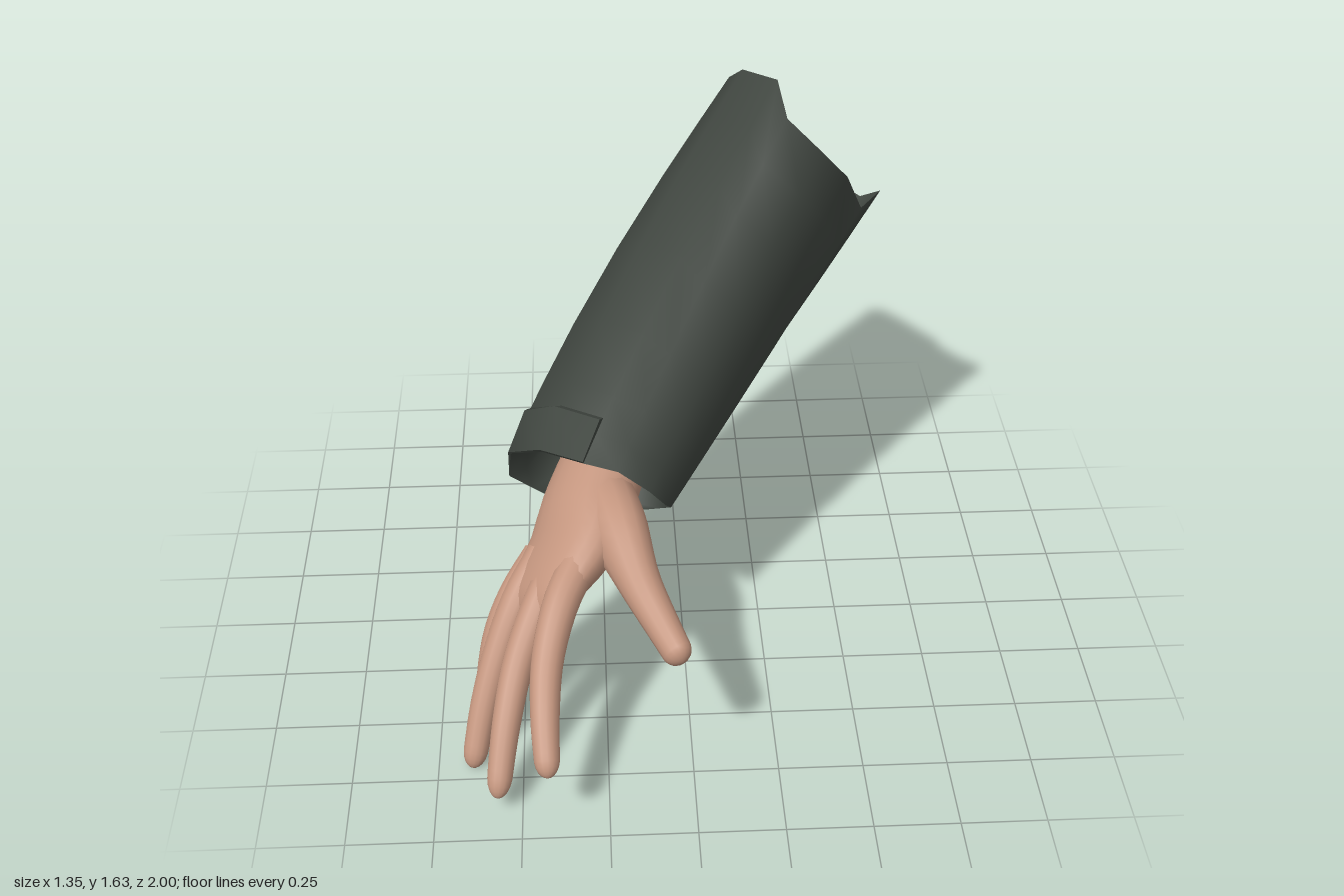
import * as THREE from 'three';

const V = (a) => new THREE.Vector3(...a);

// Skins a list of rings (arrays of Vector3 with equal length) into a smooth tube
function loft(rings, closed = true) {
  const n = rings[0].length, pos = [], idx = [];
  rings.forEach((r) => r.forEach((p) => pos.push(p.x, p.y, p.z)));
  for (let i = 0; i < rings.length - 1; i++) {
    for (let j = 0; j < (closed ? n : n - 1); j++) {
      const k = (j + 1) % n, a = i * n + j, b = i * n + k;
      idx.push(a, b, a + n, b, b + n, a + n);
    }
  }
  const g = new THREE.BufferGeometry();
  g.setAttribute('position', new THREE.Float32BufferAttribute(pos, 3));
  g.setIndex(idx);
  g.computeVertexNormals();
  return g;
}

// Direction across the knuckles, from little finger to index finger
const ACROSS = new THREE.Vector3(0.5, 0.5, 0.71).normalize();

// Rounded limb along a curve; sizes are [half width, half thickness] per point
function limb(points, sizes, steps, sides, tip) {
  const path = new THREE.CatmullRomCurve3(points.map(V));
  const size = new THREE.CatmullRomCurve3(sizes.map(([w, h]) => new THREE.Vector3(w, h, 0)));
  const rings = [];
  for (let i = 0; i <= steps; i++) {
    const t = tip ? Math.sin((i / steps) * Math.PI / 2) : i / steps;
    const c = path.getPoint(t), T = path.getTangent(t), s = size.getPoint(t);
    const side = ACROSS.clone().addScaledVector(T, -ACROSS.dot(T)).normalize();
    const up = T.clone().cross(side);
    const cap = tip && t > 0.93 ? Math.sqrt(Math.max(0.0004, 1 - ((t - 0.93) / 0.07) ** 2)) : 1;
    rings.push(Array.from({ length: sides }, (_, j) => {
      const a = (j / sides) * Math.PI * 2;
      return c.clone().addScaledVector(side, Math.cos(a) * s.x * cap)
        .addScaledVector(up, Math.sin(a) * s.y * cap);
    }));
  }
  return loft(rings);
}

// Matching outlines of the two sleeve ends
const CUFF = [
  [-0.30, 0.83, 0.34], [-0.20, 0.81, 0.36], [-0.11, 0.73, 0.35], [-0.06, 0.63, 0.28],
  [-0.04, 0.55, 0.18], [-0.07, 0.49, 0.10], [-0.19, 0.445, 0.05], [-0.33, 0.45, 0.04],
  [-0.46, 0.53, 0.03], [-0.53, 0.60, 0.06], [-0.52, 0.71, 0.10], [-0.42, 0.80, 0.23],
].map(V);
const TOP = [
  [0.32, 1.63, -0.53], [0.34, 1.56, -0.40], [0.45, 1.45, -0.39], [0.54, 1.33, -0.46],
  [0.605, 1.16, -0.58], [0.67, 1.20, -0.62], [0.63, 1.10, -0.78], [0.48, 1.12, -0.97],
  [0.35, 1.20, -1.0], [0.21, 1.37, -0.97], [0.20, 1.48, -0.90], [0.23, 1.575, -0.74],
].map(V);

const centre = (ring) => ring.reduce((s, p) => s.add(p), V([0, 0, 0])).divideScalar(ring.length);

// Sleeve outline at t (0 cuff, 1 upper end), swollen and bent in the middle
function sleeveRing(t, grow = () => 1) {
  const b = Math.sin(Math.PI * t ** 0.8);
  const ring = CUFF.map((p, i) => p.clone().lerp(TOP[i], t));
  const c = centre(ring);
  return ring.map((p, i) => p.sub(c).multiplyScalar((1 + 0.085 * b) * grow(i)).add(c)
    .add(new THREE.Vector3(0, -0.01, -0.06).multiplyScalar(b)));
}

export function createModel() {
  const cloth = new THREE.MeshStandardMaterial({ color: 0x414741, side: THREE.DoubleSide });
  cloth.name = 'dark green cloth';
  const skin = new THREE.MeshStandardMaterial({ color: 0xc4967f });
  skin.name = 'skin';

  const model = new THREE.Group();
  model.name = 'sleevedArm';
  const add = (name, geometry, material, parent = model) => {
    const m = new THREE.Mesh(geometry, material);
    m.name = name;
    parent.add(m);
  };

  // Sleeve, open at both ends
  const stations = [0, 0.06, 0.15, 0.3, 0.5, 0.7, 0.86, 1];
  add('sleeve', loft(stations.map((t) => sleeveRing(t))), cloth);

  // Hem folded into the cuff
  add('cuffHem', loft([sleeveRing(0.1, () => 0.7), sleeveRing(0.02, () => 0.84), sleeveRing(0)]), cloth);

  // Raised strap over the back of the cuff, running out flush at its far end
  const columns = [9, 10, 11, 0];
  const lift = { 9: 0, 10: 0.5, 11: 1, 0: 1 };
  const strap = [[0, 0], [0, 0.06], [0.09, 0.1], [0.1, 0]].map(([t, h]) => {
    const ring = sleeveRing(t, (i) => 1 + h * (lift[i] ?? 0));
    return columns.map((i) => ring[i]);
  });
  for (let i = 0; i < 3; i++) add('cuffStrap', loft([strap[i], strap[i + 1]], false), cloth);
  const [a, b, c, d] = strap.map((r) => r[3]);
  add('cuffStrapEnd', loft([[a, b], [d, c]], false), cloth);

  // Hand
  const hand = new THREE.Group();
  hand.name = 'hand';
  model.add(hand);
  add('palm', limb(
    [[-0.21, 0.70, 0.03], [-0.29, 0.605, 0.23], [-0.335, 0.55, 0.35], [-0.40, 0.495, 0.43], [-0.445, 0.45, 0.485], [-0.475, 0.41, 0.53]],
    [[0.14, 0.12], [0.165, 0.125], [0.185, 0.105], [0.185, 0.082], [0.175, 0.06], [0.135, 0.015]],
    18, 24), skin, hand);

  const fingers = {
    indexFinger: [[-0.32, 0.58, 0.48], [-0.375, 0.525, 0.60], [-0.415, 0.43, 0.73], [-0.425, 0.34, 0.86], [-0.42, 0.225, 0.995]],
    middleFinger: [[-0.37, 0.55, 0.42], [-0.435, 0.475, 0.53], [-0.50, 0.355, 0.64], [-0.54, 0.225, 0.76], [-0.57, 0.06, 0.895]],
    ringFinger: [[-0.42, 0.52, 0.36], [-0.495, 0.435, 0.44], [-0.56, 0.31, 0.525], [-0.61, 0.17, 0.61], [-0.65, 0.005, 0.705]],
    littleFinger: [[-0.44, 0.48, 0.30], [-0.515, 0.395, 0.365], [-0.57, 0.29, 0.41], [-0.60, 0.18, 0.45], [-0.62, 0.045, 0.50]],
  };
  const joints = [0.058, 0.053, 0.047, 0.042, 0.035];
  for (const [name, points] of Object.entries(fingers)) {
    const f = name === 'littleFinger' ? 0.85 : 1;
    add(name, limb(points, joints.map((r) => [r * f, r * f]), 22, 14, true), skin, hand);
  }
  add('thumb', limb(
    [[-0.25, 0.64, 0.24], [-0.205, 0.63, 0.40], [-0.15, 0.575, 0.57], [-0.09, 0.52, 0.70], [-0.035, 0.47, 0.81]],
    [[0.105, 0.10], [0.10, 0.085], [0.066, 0.062], [0.052, 0.05], [0.045, 0.04]],
    22, 14, true), skin, hand);

  return model;
}
